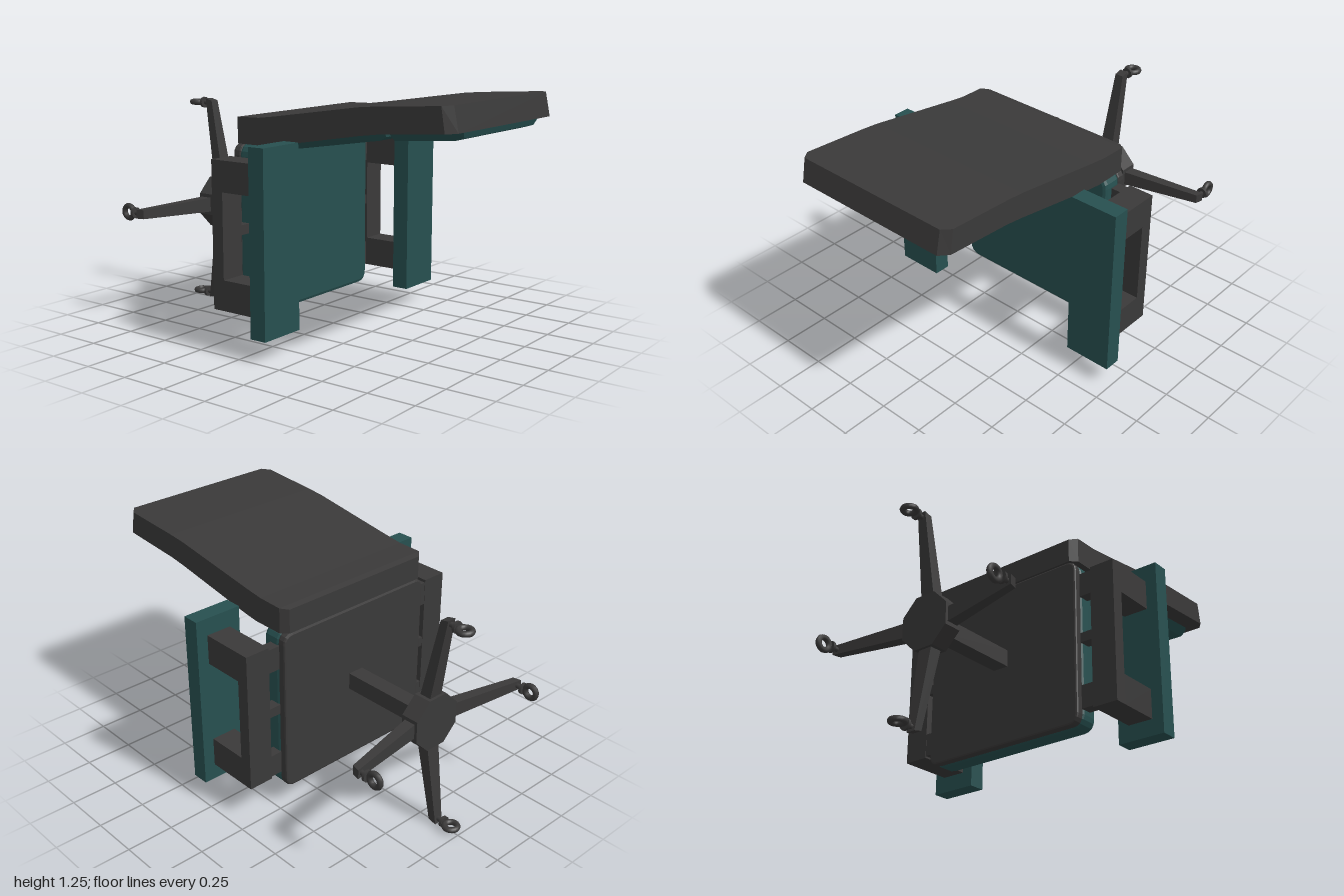
import * as THREE from 'three';

const dark = new THREE.MeshStandardMaterial({ color: 0x3a3939 });
dark.name = 'charcoal';
const teal = new THREE.MeshStandardMaterial({ color: 0x275050 });
teal.name = 'teal fabric';

function add(parent, name, geometry, material, x = 0, y = 0, z = 0) {
  const mesh = new THREE.Mesh(geometry, material);
  mesh.name = name;
  mesh.position.set(x, y, z);
  parent.add(mesh);
  return mesh;
}

// Box given by its limits on each axis
function block(parent, name, material, [x0, x1], [y0, y1], [z0, z1]) {
  return add(parent, name, new THREE.BoxGeometry(Math.abs(x1 - x0), y1 - y0, z1 - z0), material,
    (x0 + x1) / 2, (y0 + y1) / 2, (z0 + z1) / 2);
}

// Skin over four-cornered sections, ordered by rising z: [zTop, yTop, halfTop, zBottom, yBottom, halfBottom]
function loft(sections) {
  const rings = sections.map(([zt, yt, wt, zb, yb, wb]) =>
    [[-wb, yb, zb], [wb, yb, zb], [wt, yt, zt], [-wt, yt, zt]]);
  const points = [];
  const quad = (a, b, c, d) => points.push(...a, ...b, ...c, ...a, ...c, ...d);
  for (let k = 0; k + 1 < rings.length; k++) {
    for (let i = 0; i < 4; i++) {
      const j = (i + 1) % 4;
      quad(rings[k][i], rings[k][j], rings[k + 1][j], rings[k + 1][i]);
    }
  }
  const first = rings[0], last = rings[rings.length - 1];
  quad(first[3], first[2], first[1], first[0]);
  quad(last[0], last[1], last[2], last[3]);
  const geometry = new THREE.BufferGeometry();
  geometry.setAttribute('position', new THREE.Float32BufferAttribute(points, 3));
  geometry.computeVertexNormals();
  return geometry;
}

// Rounded slab in the xy plane, from z = 0 to z = depth
function slab(halfW, halfH, depth, radius, bevel) {
  const w = halfW - bevel, h = halfH - bevel, r = radius;
  const s = new THREE.Shape();
  s.moveTo(-w + r, -h);
  s.lineTo(w - r, -h);
  s.quadraticCurveTo(w, -h, w, -h + r);
  s.lineTo(w, h - r);
  s.quadraticCurveTo(w, h, w - r, h);
  s.lineTo(-w + r, h);
  s.quadraticCurveTo(-w, h, -w, h - r);
  s.lineTo(-w, -h + r);
  s.quadraticCurveTo(-w, -h, -w + r, -h);
  return new THREE.ExtrudeGeometry(s, {
    depth: depth - 2 * bevel, bevelThickness: bevel, bevelSize: bevel, bevelSegments: 2, curveSegments: 4,
  }).translate(0, 0, bevel);
}

export function createModel() {
  const chair = new THREE.Group();
  chair.name = 'tippedOfficeChair';

  // Seat standing on edge: cushion in front, shell behind
  add(chair, 'seatCushion', slab(0.47, 0.438, 0.11, 0.045, 0.02), teal, 0, 0.562, -0.23);
  add(chair, 'seatShell', slab(0.47, 0.434, 0.047, 0.045, 0.01), dark, 0, 0.562, -0.267);

  // Backrest shell, bent in two places
  const W = 0.47;
  add(chair, 'backrestShell', loft([
    [-0.267, 1.125, 0.435, -0.267, 1.0, 0.435],
    [-0.235, 1.132, W, -0.235, 1.0, W],
    [-0.1, 1.135, W, -0.06, 1.0, W],
    [0.0, 1.148, W, 0.03, 1.012, W],
    [0.5, 1.223, W, 0.5, 1.092, W],
    [0.6, 1.232, W, 0.6, 1.106, W],
    [0.93, 1.253, W, 0.95, 1.132, W],
    [0.973, 1.256, 0.435, 0.998, 1.136, 0.435],
  ]), dark);

  // Backrest pads, tapering away from the shell
  add(chair, 'lowerBackPad', loft([
    [-0.045, 1.02, 0.36, -0.04, 0.997, 0.33],
    [-0.02, 1.03, 0.39, 0.02, 0.977, 0.32],
    [0.52, 1.11, 0.39, 0.52, 1.058, 0.34],
    [0.565, 1.115, 0.37, 0.56, 1.078, 0.34],
  ]), teal);
  add(chair, 'upperBackPad', loft([
    [0.575, 1.115, 0.36, 0.58, 1.082, 0.33],
    [0.6, 1.12, 0.39, 0.605, 1.065, 0.34],
    [0.94, 1.145, 0.39, 0.92, 1.088, 0.34],
    [0.98, 1.145, 0.36, 0.965, 1.102, 0.33],
  ]), teal);

  // Armrests: pad, three-sided bracket and links to the seat
  for (const side of [1, -1]) {
    const arm = new THREE.Group();
    arm.name = side > 0 ? 'leftArmrest' : 'rightArmrest';
    chair.add(arm);
    const x = [side * 0.535, side * 0.67];
    block(arm, 'armPad', teal, [side * 0.475, side * 0.732], [0.115, 1.035], [0.06, 0.15]);
    block(arm, 'bracketSpine', dark, x, [0.2, 0.945], [-0.23, -0.163]);
    for (const y of [0.2, 0.79]) block(arm, 'bracketBar', dark, x, [y, y + 0.155], [-0.163, 0.06]);
    for (const y of [[0.21, 0.33], [0.555, 0.605], [0.805, 0.93]]) {
      block(arm, 'seatLink', dark, [side * 0.44, side * 0.535], y, [-0.228, -0.167]);
    }
  }

  // Post and star base
  const base = new THREE.Group();
  base.name = 'base';
  base.position.y = 0.583;
  chair.add(base);
  block(base, 'post', dark, [-0.044, 0.044], [-0.044, 0.044], [-0.74, -0.26]);
  const hub = new THREE.CylinderGeometry(0.15, 0.15, 0.096, 8).rotateY(Math.PI / 8).rotateX(Math.PI / 2);
  hub.computeVertexNormals();
  add(base, 'hub', hub.toNonIndexed(), dark, 0, 0, -0.773).geometry.computeVertexNormals();

  const legShape = loft([
    [0.1, 0.8, 0.04, 0.1, 0.735, 0.04],
    [0.57, 0.872, 0.024, 0.56, 0.828, 0.024],
  ]).rotateX(-Math.PI / 2);
  const stem = new THREE.CylinderGeometry(0.013, 0.013, 0.08, 10).rotateX(Math.PI / 2);
  const collar = new THREE.CylinderGeometry(0.03, 0.03, 0.014, 12).rotateX(Math.PI / 2);
  const ring = new THREE.TorusGeometry(0.033, 0.015, 8, 20).rotateX(Math.PI / 2);
  for (let i = 0; i < 4; i++) {
    const leg = new THREE.Group();
    leg.name = 'baseLeg';
    leg.rotation.z = i * Math.PI / 2;
    base.add(leg);
    add(leg, 'legBeam', legShape, dark);
    add(leg, 'casterStem', stem, dark, 0, 0.546, -0.885);
    add(leg, 'casterCollar', collar, dark, 0, 0.546, -0.905);
    add(leg, 'casterWheel', ring, dark, 0, 0.546, -0.952);
  }
  return chair;
}
